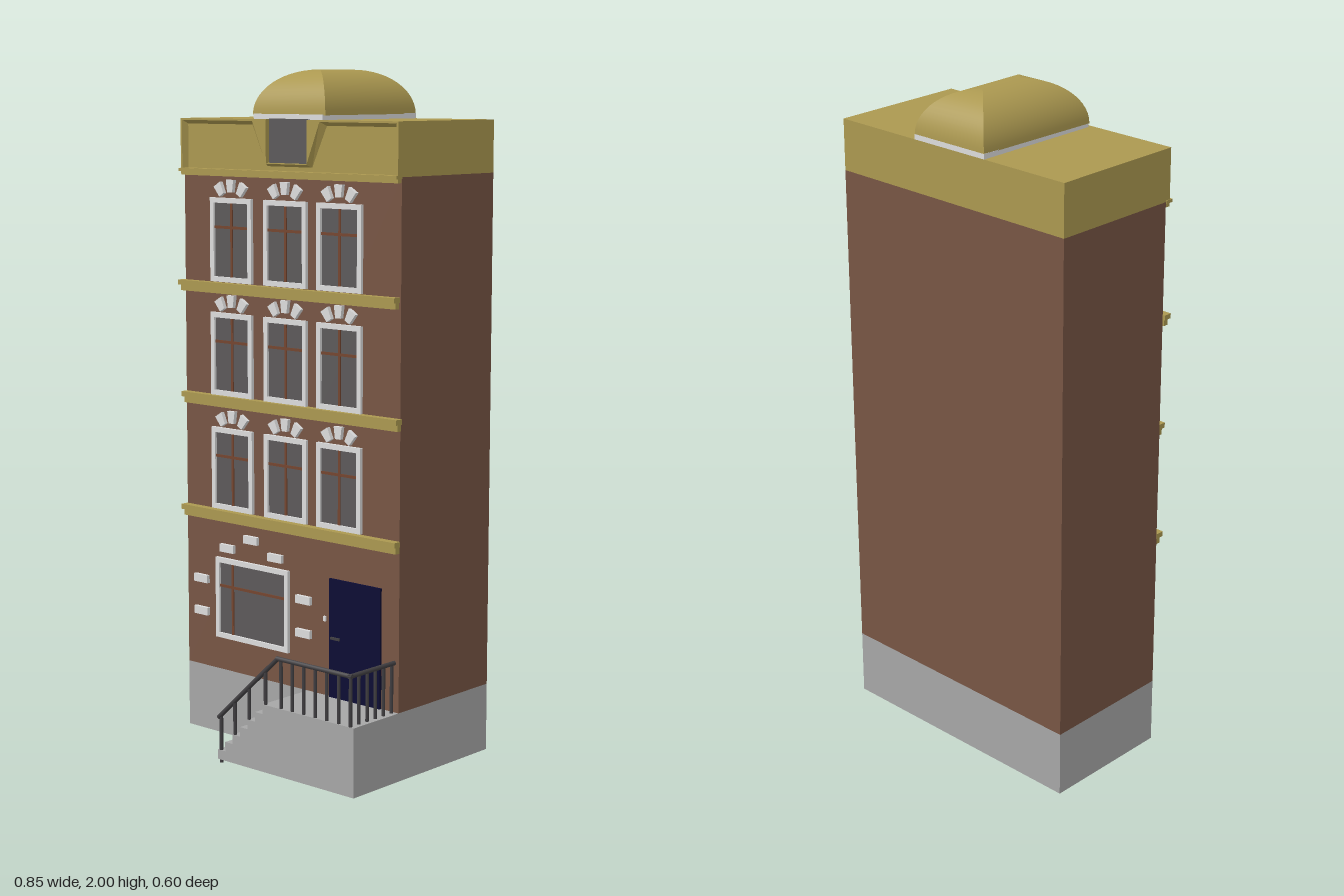
import * as THREE from 'three';

const mat = (name, color, side = THREE.FrontSide) => {
  const m = new THREE.MeshStandardMaterial({ color, side });
  m.name = name;
  return m;
};

export function createModel() {
  const brick = mat('brick', 0x775544);
  const gold = mat('ochre trim', 0xab9850, THREE.DoubleSide);
  const stone = mat('grey stone', 0xa6a6a6);
  const white = mat('white stone', 0xdcdcdc);
  const glass = mat('window glass', 0x5c595a);
  const wood = mat('brown wood', 0x74452f);
  const navy = mat('navy door paint', 0x0b0b33);
  const iron = mat('dark iron', 0x403e41);

  const model = new THREE.Group();
  model.name = 'townhouse';
  const WALL = 0.106; // z of the front wall

  const add = (parent, name, geo, material) => {
    const mesh = new THREE.Mesh(geo, material);
    mesh.name = name;
    parent.add(mesh);
    return mesh;
  };
  // Box given by its lower and upper bounds
  const box = (parent, name, material, x0, x1, y0, y1, z0, z1) => {
    const mesh = add(parent, name, new THREE.BoxGeometry(x1 - x0, y1 - y0, z1 - z0), material);
    mesh.position.set((x0 + x1) / 2, (y0 + y1) / 2, (z0 + z1) / 2);
    return mesh;
  };
  const group = (name, parent = model) => {
    const g = new THREE.Group();
    g.name = name;
    parent.add(g);
    return g;
  };
  const shapeOf = pts => new THREE.Shape(pts.map(p => new THREE.Vector2(p[0], p[1])));
  const extrude = (shape, depth) =>
    new THREE.ExtrudeGeometry(shape, { depth, bevelEnabled: false });
  const rect = (x0, x1, y0, y1) => [[x0, y0], [x1, y0], [x1, y1], [x0, y1]];

  // Main body
  box(model, 'basePlinth', stone, -0.418, 0.418, 0.01, 0.21, -0.3, WALL);
  box(model, 'brickWalls', brick, -0.418, 0.418, 0.21, 1.71, -0.3, WALL);
  box(model, 'roofBlock', gold, -0.418, 0.418, 1.71, 1.86, -0.3, WALL);

  // Roof front: a facing with a bevelled sunken panel and a slot for the dormer window
  const roofFront = group('roofFront');
  const rim = [[-0.412, 1.715], [0.412, 1.715], [0.412, 1.855], [0.132, 1.855],
    [0.083, 1.735], [-0.073, 1.735], [-0.126, 1.855], [-0.412, 1.855]];
  const inner = [[-0.402, 1.715], [0.402, 1.715], [0.402, 1.844], [0.146, 1.844],
    [0.091, 1.727], [-0.081, 1.727], [-0.14, 1.844], [-0.402, 1.844]];
  const facing = shapeOf([[-0.418, 1.71], [0.418, 1.71], [0.418, 1.86], [0.083, 1.86],
    [0.083, 1.737], [-0.073, 1.737], [-0.073, 1.86], [-0.418, 1.86]]);
  facing.holes.push(new THREE.Path(rim.map(p => new THREE.Vector2(p[0], p[1] - 0.0005))));
  add(roofFront, 'roofFacing', extrude(facing, 0.016), gold).position.z = WALL;
  // Infill between the sloped panel edges and the dormer window
  for (const [a, b] of [[-0.126, -0.073], [0.132, 0.083]]) {
    add(roofFront, 'dormerCheek', extrude(shapeOf([[a, 1.86], [b, 1.735], [b, 1.86]]), 0.016), gold)
      .position.z = WALL;
  }
  const bevel = [];
  rim.forEach((p, i) => {
    const j = (i + 1) % rim.length;
    const a = [...p, 0.122], b = [...rim[j], 0.122];
    const c = [...inner[j], WALL], d = [...inner[i], WALL];
    bevel.push(...a, ...b, ...c, ...a, ...c, ...d);
  });
  const bevelGeo = new THREE.BufferGeometry();
  bevelGeo.setAttribute('position', new THREE.Float32BufferAttribute(bevel, 3));
  bevelGeo.computeVertexNormals();
  add(roofFront, 'panelBevel', bevelGeo, gold);

  // Dormer: window, white band and a vault rounded on all four sides
  const dormer = group('dormer');
  box(dormer, 'dormerWindow', glass, -0.073, 0.083, 1.737, 1.862, WALL, 0.109);
  box(dormer, 'dormerBand', white, -0.132, 0.132, 1.86, 1.875, -0.3, 0.109);
  const ROWS = 14;
  const corners = t => {
    const w = Math.cos(t), y = 1.873 + 0.127 * Math.sin(t);
    const zf = -0.025 + 0.13 * w, zb = -0.17 - 0.13 * w;
    return [[-0.139 * w, y, zf], [0.139 * w, y, zf], [0.131 * w, y, zb], [-0.131 * w, y, zb]];
  };
  for (let s = 0; s < 4; s++) {
    const pos = [], idx = [];
    for (let r = 0; r <= ROWS; r++) {
      const c = corners((r / ROWS) * Math.PI / 2);
      pos.push(...c[s], ...c[(s + 1) % 4]);
      const k = r * 2;
      if (r < ROWS) idx.push(k, k + 1, k + 3, k, k + 3, k + 2);
    }
    const geo = new THREE.BufferGeometry();
    geo.setAttribute('position', new THREE.Float32BufferAttribute(pos, 3));
    geo.setIndex(idx);
    geo.computeVertexNormals();
    add(dormer, 'vaultSide', geo, gold);
  }

  // Stepped cornices between the storeys: [top y, height, sideways shift]
  const cornices = group('cornices');
  for (const [top, h, dx] of [[0.703, 0.034, 0], [1.048, 0.034, 0.004],
    [1.383, 0.032, -0.006], [1.714, 0.02, 0]]) {
    box(cornices, 'corniceTop', gold, dx - 0.42, dx + 0.42, top - h * 0.45, top, WALL, 0.131);
    box(cornices, 'corniceFoot', gold, dx - 0.417, dx + 0.417, top - h, top - h * 0.45, WALL, 0.122);
  }

  // Window with frame, pane and glazing bars
  const addWindow = (name, x0, x1, y0, y1, bars) => {
    const g = group(name);
    const f = 0.015;
    const frame = shapeOf(rect(x0, x1, y0, y1));
    frame.holes.push(new THREE.Path(rect(x0 + f, x1 - f, y0 + f, y1 - f)
      .map(p => new THREE.Vector2(p[0], p[1]))));
    add(g, 'windowFrame', extrude(frame, 0.01), white).position.z = WALL;
    box(g, 'pane', glass, x0 + f, x1 - f, y0 + f, y1 - f, WALL, 0.109);
    const yBar = y0 + 0.16;
    box(g, 'crossBar', wood, x0 + f, x1 - f, yBar - 0.004, yBar + 0.004, 0.108, 0.112);
    for (const x of bars) box(g, 'uprightBar', wood, x - 0.004, x + 0.004, y0 + f, y1 - f, 0.108, 0.112);
    return g;
  };
  const keystone = extrude(shapeOf([[-0.01, -0.018], [0.01, -0.018], [0.015, 0.018], [-0.015, 0.018]]), 0.012);
  for (const y of [0.705, 1.048, 1.385]) {
    for (const x of [-0.222, -0.008, 0.198]) {
      const g = addWindow('upperWindow', x - 0.083, x + 0.083, y, y + 0.246, [x]);
      for (const s of [-1, 0, 1]) {
        const k = add(g, 'keystone', keystone, white);
        k.position.set(x + s * 0.043, y + (s ? 0.27 : 0.281), WALL);
        k.rotation.z = -s * 0.55;
      }
    }
  }

  // Ground floor window with stone blocks around it
  const ground = addWindow('groundWindow', -0.292, 0.003, 0.31, 0.556, [-0.225]);
  for (const [x, y] of [[-0.355, 0.48], [-0.355, 0.38], [0.062, 0.48], [0.062, 0.38],
    [-0.245, 0.587], [-0.05, 0.587], [-0.148, 0.626]]) {
    box(ground, 'stoneBlock', white, x - 0.028, x + 0.028, y - 0.012, y + 0.012, WALL, 0.117);
  }

  // Door
  const door = group('door');
  box(door, 'doorLeaf', navy, 0.162, 0.354, 0.21, 0.56, WALL, 0.113);
  box(door, 'doorHandle', iron, 0.172, 0.205, 0.383, 0.39, 0.113, 0.119);
  box(door, 'doorBell', white, 0.138, 0.146, 0.43, 0.445, WALL, 0.111);

  // Landing and steps in one profile
  const STEPS = 7;
  const profile = [[0.418, 0.01], [0.418, 0.21]];
  for (let i = STEPS; i > 0; i--) {
    const x = -0.107 + (i - 1) * 0.03;
    profile.push([x, 0.01 + i * 0.2 / STEPS], [x, 0.01 + (i - 1) * 0.2 / STEPS]);
  }
  add(model, 'frontSteps', extrude(shapeOf(profile), 0.298 - WALL), stone).position.z = WALL;

  // Iron railing
  const railing = group('railing');
  const bar = (name, a, b, r) => {
    const p = new THREE.Vector3(...a), d = new THREE.Vector3(...b).sub(p);
    const m = add(railing, name, new THREE.CylinderGeometry(r, r, d.length(), 8), iron);
    m.position.copy(p).addScaledVector(d, 0.5);
    m.quaternion.setFromUnitVectors(new THREE.Vector3(0, 1, 0), d.normalize());
  };
  const Z = 0.292, X = 0.401, TOP = 0.353;
  bar('slopedHandrail', [-0.108, 0.134, Z], [0.127, TOP, Z], 0.007);
  bar('frontHandrail', [0.123, TOP, Z], [X + 0.006, TOP, Z], 0.007);
  bar('sideHandrail', [X, TOP, Z + 0.006], [X, TOP, WALL], 0.007);
  [[-0.098, 0], [-0.042, 0.065], [0.015, 0.12], [0.08, 0.18]].forEach(([x, y]) =>
    bar('stepBaluster', [x, y, Z], [x, 0.142 + (x + 0.1) * 0.932, Z], 0.0055));
  for (let i = 0; i < 7; i++) {
    const x = 0.14 + i * (X - 0.14) / 6;
    bar('frontBaluster', [x, 0.21, Z], [x, TOP, Z], 0.005);
  }
  for (let i = 1; i < 6; i++) {
    const z = Z - i * 0.035;
    bar('sideBaluster', [X, 0.21, z], [X, TOP, z], 0.005);
  }

  return model;
}
